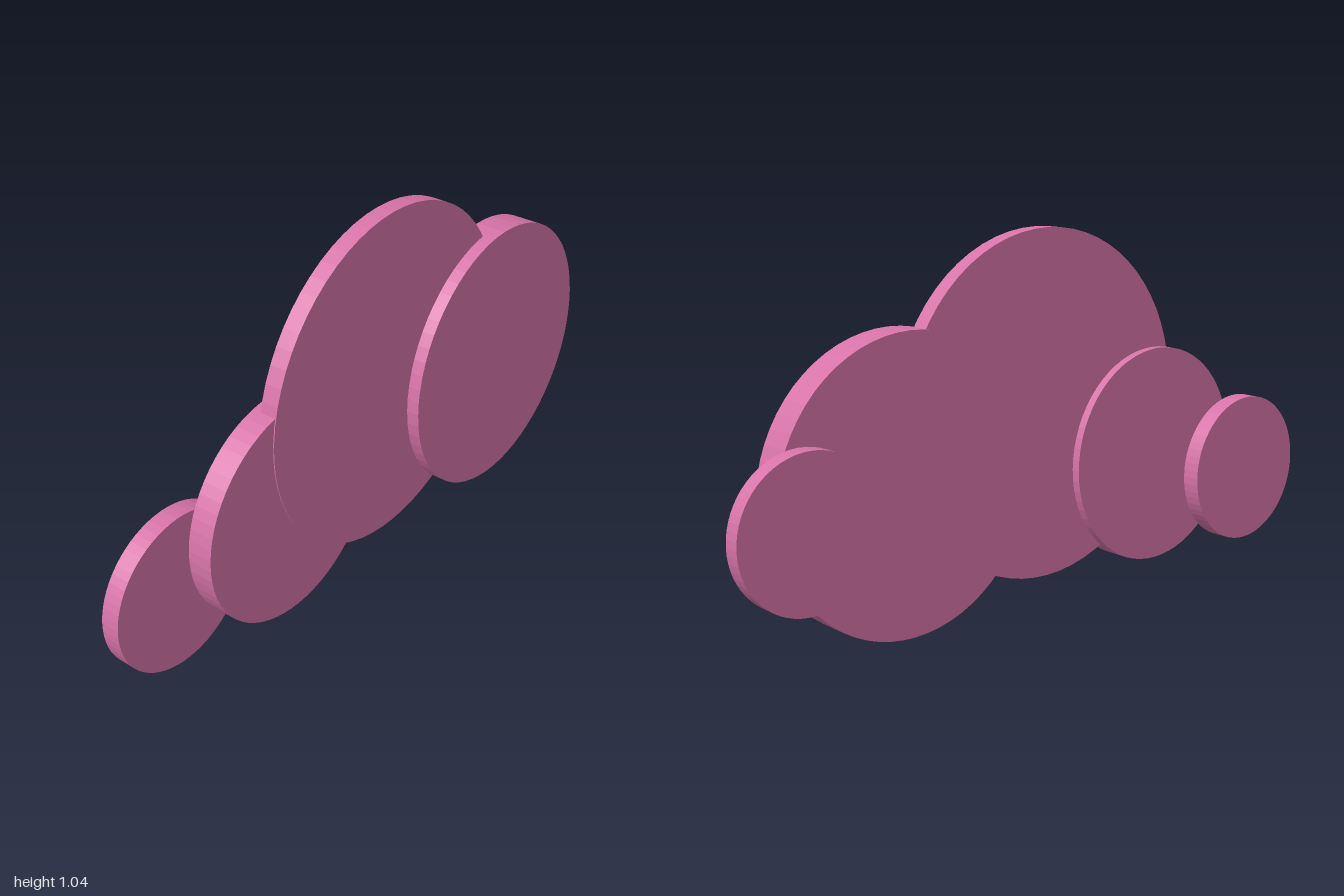
import * as THREE from 'three';

// Cloud made of five overlapping upright discs: centre x, centre y, radius, back z, front z
const PUFFS = [
  ['mainPuff', -0.03, 0.553, 0.487, 0, 0.05],
  ['frontLeftPuff', 0.44, 0.404, 0.404, -0.005, 0.088],
  ['middleRightPuff', -0.443, 0.355, 0.317, -0.025, 0.047],
  ['smallRightPuff', -0.778, 0.27, 0.222, -0.088, -0.035],
  ['smallLeftPuff', 0.798, 0.367, 0.202, -0.085, -0.038],
];

export function createModel() {
  const cloud = new THREE.Group();
  cloud.name = 'cloud';
  const pink = new THREE.MeshStandardMaterial({ color: 0xd673a8, flatShading: true });

  for (const [name, x, y, radius, back, front] of PUFFS) {
    const disc = new THREE.CylinderGeometry(radius, radius, front - back, 64);
    disc.rotateX(Math.PI / 2);
    const puff = new THREE.Mesh(disc, pink);
    puff.name = name;
    puff.position.set(x, y, (front + back) / 2);
    cloud.add(puff);
  }
  return cloud;
}
